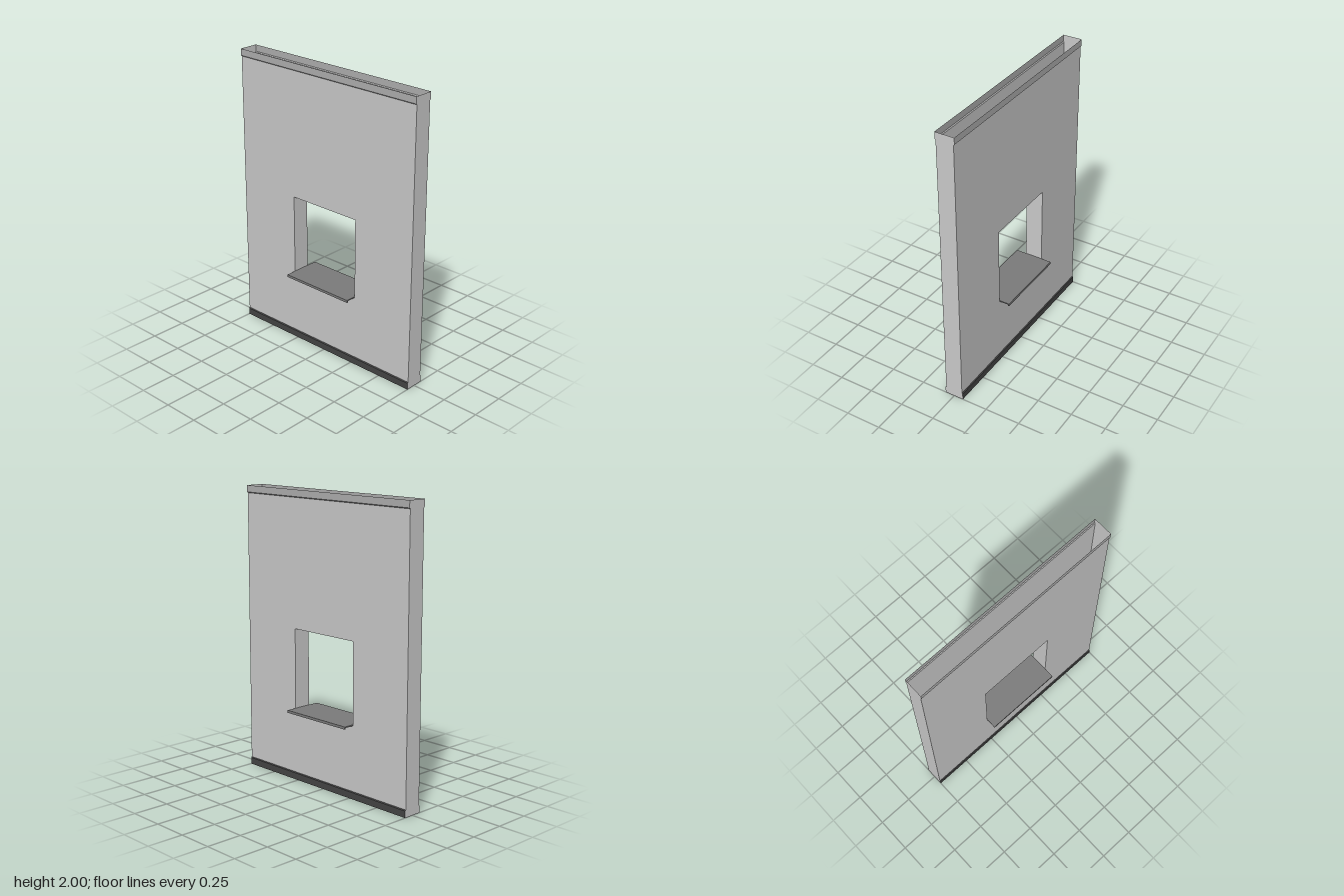
import * as THREE from 'three';

const W = 0.75, H = 2;             // half width, height
const Z = 0.062, TZ = 0.068;       // half depth of wall and of trims
const BAND = 0.046, STEP = 0.052;  // trim face height, end of its bevel
const OX = 0.276, O0 = 0.505, O1 = 1.065; // window opening

const paint = (color) => new THREE.MeshStandardMaterial({ color, side: THREE.DoubleSide, flatShading: true });

function add(group, name, geometry, material) {
  const mesh = new THREE.Mesh(geometry, material);
  mesh.name = name;
  group.add(mesh);
  return mesh;
}

// Shape from [x, y] pairs
const shapeOf = (pts) => new THREE.Shape(pts.map(([x, y]) => new THREE.Vector2(x, y)));

// Sheet following [z, y] points, stretched across x
function ribbon(pts, halfWidth) {
  const pos = [];
  for (let i = 0; i < pts.length - 1; i++) {
    const [z0, y0] = pts[i], [z1, y1] = pts[i + 1], w = halfWidth;
    pos.push(-w, y0, z0, w, y0, z0, w, y1, z1, -w, y0, z0, w, y1, z1, -w, y1, z1);
  }
  const g = new THREE.BufferGeometry();
  g.setAttribute('position', new THREE.Float32BufferAttribute(pos, 3));
  g.computeVertexNormals();
  return g;
}

export function createModel() {
  const model = new THREE.Group();
  model.name = 'wallPanel';
  const grey = paint(0xcccccc), topGrey = paint(0xb0b0b0);
  const dark = paint(0x454545), sillGrey = paint(0x7c7c7c);

  // Wall faces with the window opening
  const face = shapeOf([[-W, STEP], [W, STEP], [W, H - STEP], [-W, H - STEP]]);
  face.holes.push(new THREE.Path([[-OX, O0], [-OX, O1], [OX, O1], [OX, O0]]
    .map(([x, y]) => new THREE.Vector2(x, y))));

  // Closed end profile, wider at the trims
  const side = [[TZ, 0], [TZ, BAND], [Z, STEP], [Z, H - STEP], [TZ, H - BAND], [TZ, H]];
  const end = shapeOf([...side, ...side.map(([z, y]) => [-z, y]).reverse()]);

  for (const s of [1, -1]) {
    const turn = s > 0 ? 0 : Math.PI;
    const wall = add(model, s > 0 ? 'frontFace' : 'backFace', new THREE.ShapeGeometry(face), grey);
    wall.position.z = s * Z;
    wall.rotation.y = turn;

    // Top and bottom trims
    const base = add(model, 'bottomTrim', ribbon(side.slice(0, 3), W), dark);
    const cap = add(model, 'topTrim', ribbon(side.slice(3), W), topGrey);
    base.rotation.y = cap.rotation.y = turn;

    // End panels and window jambs
    const panel = add(model, s > 0 ? 'leftEnd' : 'rightEnd', new THREE.ShapeGeometry(end), grey);
    panel.rotation.y = s * Math.PI / 2;
    panel.position.x = s * W;
    const jamb = add(model, 'windowJamb', new THREE.PlaneGeometry(2 * Z, O1 - O0), grey);
    jamb.rotation.y = -s * Math.PI / 2;
    jamb.position.set(s * OX, (O0 + O1) / 2, 0);
  }

  // Window head
  add(model, 'windowHead', ribbon([[Z, O1], [-Z, O1]], OX), grey);

  // Sill board through the wall, with a drip lip on both edges
  const S = 0.136, T = 0.008, top = 0.51;
  const sill = shapeOf([[-S, top], [-S, 0.492], [-S + T, 0.492], [-S + T, top - T],
    [S - T, top - T], [S - T, 0.492], [S, 0.492], [S, top]]);
  const sillGeo = new THREE.ExtrudeGeometry(sill, { depth: 2 * OX, bevelEnabled: false });
  sillGeo.translate(0, 0, -OX).rotateY(Math.PI / 2);
  add(model, 'windowSill', sillGeo, sillGrey);

  return model;
}
